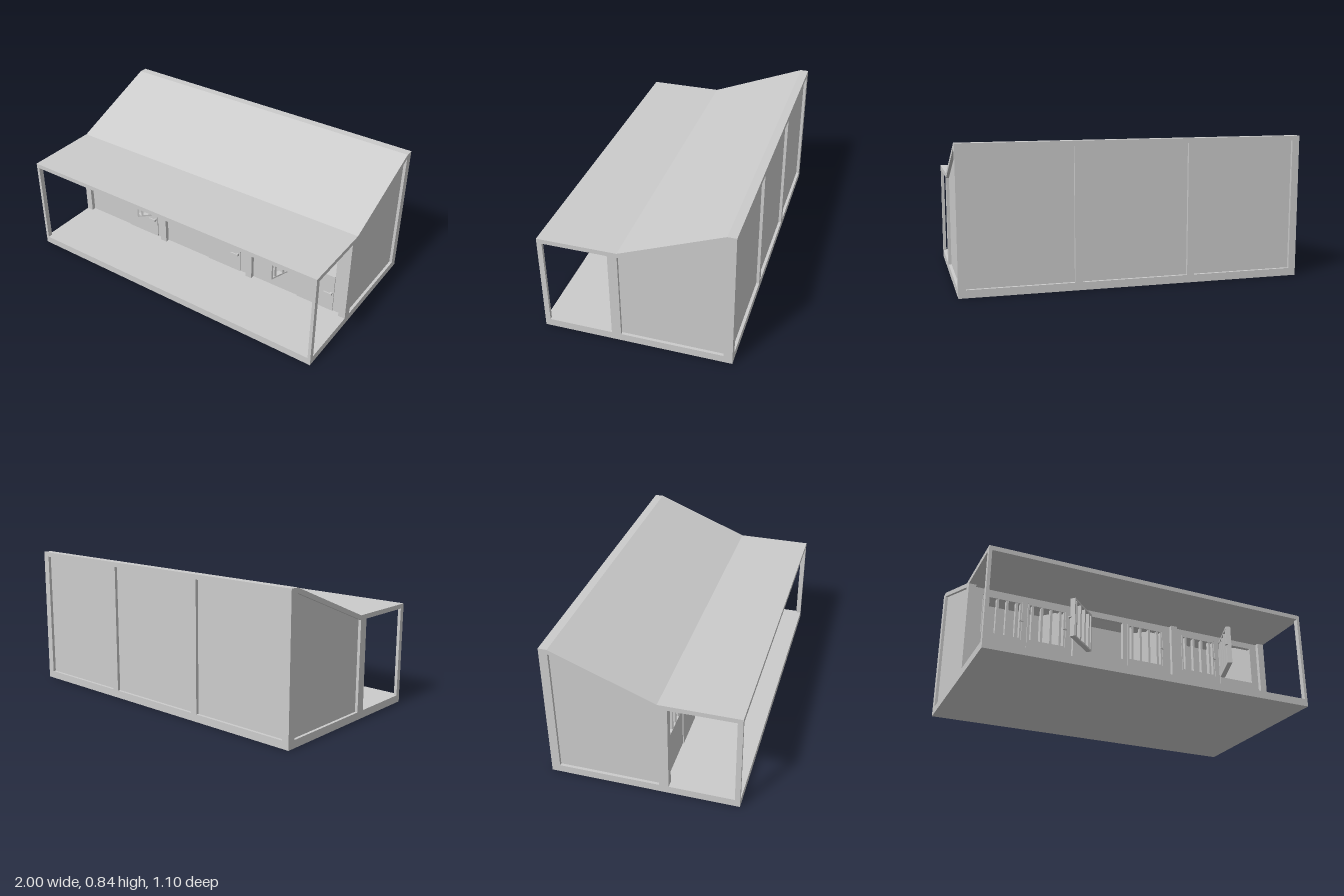
import * as THREE from 'three';

const mat = new THREE.MeshStandardMaterial({ color: 0xcccccc, flatShading: true });
const FLOOR = 0.045, EAVE = 0.578, TOP = 0.81;
const FRONT = 0.5475, BACK = -0.5475;
const SILL = 0.295, HEAD = 0.54, LEAF_W = 0.235, WALL_Z = 0.12;

// Box given by its lower and upper limits
function box(parent, name, x0, x1, y0, y1, z0, z1) {
  const mesh = new THREE.Mesh(new THREE.BoxGeometry(x1 - x0, y1 - y0, z1 - z0), mat);
  mesh.position.set((x0 + x1) / 2, (y0 + y1) / 2, (z0 + z1) / 2);
  mesh.name = name;
  parent.add(mesh);
  return mesh;
}

// Side profile of [z, y] points, extruded along x and centred on x
function profile(parent, name, points, width, x) {
  const shape = new THREE.Shape(points.map(([z, y]) => new THREE.Vector2(z, y)));
  const geo = new THREE.ExtrudeGeometry(shape, { depth: width, bevelEnabled: false });
  geo.translate(0, 0, -width / 2);
  geo.rotateY(-Math.PI / 2);
  const mesh = new THREE.Mesh(geo, mat);
  mesh.position.x = x;
  mesh.name = name;
  parent.add(mesh);
}

function rectPath(PathType, x0, x1, y0, y1) {
  return new PathType([[x0, y0], [x1, y0], [x1, y1], [x0, y1]].map(p => new THREE.Vector2(...p)));
}

// Barred leaf hinged on its left edge, swung outwards by an angle in degrees
function barredLeaf(parent, name, x, swing) {
  const leaf = new THREE.Group();
  leaf.name = name;
  const h = HEAD - SILL, t = 0.03, frame = 0.01;
  const shape = rectPath(THREE.Shape, 0, LEAF_W, 0, h);
  shape.holes.push(rectPath(THREE.Path, frame, LEAF_W - frame, frame, h - frame));
  const geo = new THREE.ExtrudeGeometry(shape, { depth: t, bevelEnabled: false });
  geo.translate(0, 0, -t);
  const frameMesh = new THREE.Mesh(geo, mat);
  frameMesh.name = 'leafFrame';
  leaf.add(frameMesh);
  for (let i = 0; i < 4; i++) {
    const c = LEAF_W / 2 + (i - 1.5) * 0.058;
    box(leaf, 'bar', c - 0.007, c + 0.007, frame, h - frame, -t + 0.002, -0.002);
  }
  box(leaf, 'latch', LEAF_W - 0.012, LEAF_W + 0.01, h / 2 - 0.004, h / 2 + 0.004, -0.008, 0.008);
  leaf.position.set(x, SILL, WALL_Z);
  leaf.rotation.y = -THREE.MathUtils.degToRad(swing);
  parent.add(leaf);
}

export function createModel() {
  const stable = new THREE.Group();
  stable.name = 'stable';

  box(stable, 'floorSlab', -1, 1, 0, FLOOR, BACK, FRONT);

  // Roof: flat porch canopy, slope and short flat ridge
  profile(stable, 'roof', [
    [FRONT, EAVE], [FRONT, 0.605], [0.09, 0.605], [-0.497, 0.838],
    [BACK, 0.838], [BACK, TOP], [-0.497, TOP], [0.09, EAVE],
  ], 2, 0);

  // Posts and end walls, mirrored
  for (const s of [-1, 1]) {
    const post = (name, a, b, top, z0, z1) =>
      box(stable, name, Math.min(s * a, s * b), Math.max(s * a, s * b), FLOOR, top, z0, z1);
    post('porchPost', 0.982, 1, EAVE, FRONT - 0.03, FRONT);
    post('frontCornerPost', 0.957, 1, EAVE, 0.09, 0.145);
    post('frontMiddlePost', 0.31, 0.353, EAVE, 0.09, 0.145);
    post('backCornerPost', 0.957, 1, TOP, BACK, -0.497);
    post('backMiddlePost', 0.31, 0.353, TOP, BACK, -0.497);
    const outline = [[0.1, FLOOR], [0.1, EAVE], [0.09, EAVE], [-0.497, TOP], [-0.52, TOP], [-0.52, FLOOR]];
    profile(stable, 'endWall', outline, 0.02, s * 0.973);
    profile(stable, 'stallPartition', outline, 0.02, s * 0.3315);
  }
  box(stable, 'backWall', -0.965, 0.965, FLOOR, TOP, -0.53, -0.51);

  // Front wall with a window and an upper door opening per stall
  const wall = rectPath(THREE.Shape, -0.96, 0.96, FLOOR, EAVE);
  const stalls = [
    { x: -0.65, window: 0, door: 0 },
    { x: 0, window: 137, door: 0 },
    { x: 0.65, window: 0, door: 110 },
  ];
  for (const { x, window, door } of stalls) {
    for (const left of [x - 0.257, x + 0.016])
      wall.holes.push(rectPath(THREE.Path, left, left + 0.241, SILL, HEAD));
    barredLeaf(stable, 'windowLeaf', x - 0.254, window);
    barredLeaf(stable, 'upperDoorLeaf', x + 0.019, door);

    // Lower door with lever handle
    const lower = new THREE.Group();
    lower.name = 'lowerDoor';
    box(lower, 'doorPanel', x + 0.016, x + 0.257, FLOOR, SILL, WALL_Z - 0.024, WALL_Z + 0.006);
    box(lower, 'handleStem', x + 0.236, x + 0.248, 0.163, 0.179, WALL_Z, WALL_Z + 0.022);
    box(lower, 'handleLever', x + 0.198, x + 0.248, 0.166, 0.178, WALL_Z + 0.016, WALL_Z + 0.024);
    stable.add(lower);
  }
  const wallGeo = new THREE.ExtrudeGeometry(wall, { depth: 0.025, bevelEnabled: false });
  const front = new THREE.Mesh(wallGeo, mat);
  front.position.z = WALL_Z - 0.025;
  front.name = 'frontWall';
  stable.add(front);

  return stable;
}
